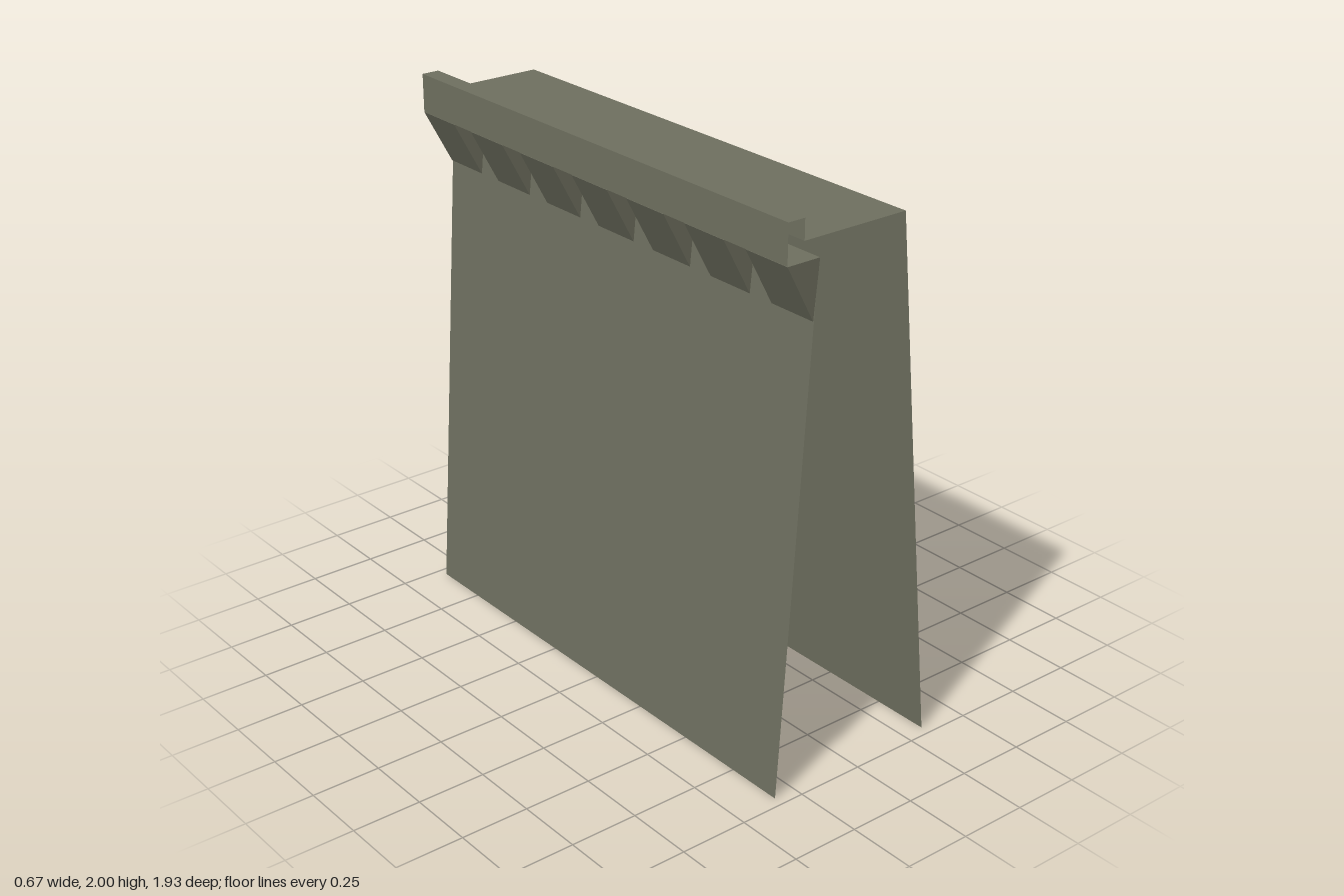
import * as THREE from 'three';

const HALF = 0.963; // half the wall length along z

// Open sheet swept along z from a cross-section of [x, y] points
function sheet(name, points, material) {
  const pos = [];
  for (let i = 0; i < points.length - 1; i++) {
    const [ax, ay] = points[i];
    const [bx, by] = points[i + 1];
    pos.push(ax, ay, HALF, ax, ay, -HALF, bx, by, -HALF);
    pos.push(ax, ay, HALF, bx, by, -HALF, bx, by, HALF);
  }
  const geometry = new THREE.BufferGeometry();
  geometry.setAttribute('position', new THREE.Float32BufferAttribute(pos, 3));
  geometry.computeVertexNormals();
  const mesh = new THREE.Mesh(geometry, material);
  mesh.name = name;
  return mesh;
}

export function createModel() {
  const group = new THREE.Group();
  group.name = 'rampartWall';
  const stone = new THREE.MeshStandardMaterial({ color: 0x6e6f5f, side: THREE.DoubleSide });
  stone.name = 'grey stone';

  // Sloping walls, walkway and parapet, all open at the ends
  group.add(sheet('innerWall', [[0.335, 0], [0.142, 1.928]], stone));
  group.add(sheet('walkway', [[0.142, 1.928], [-0.27, 1.928]], stone));
  group.add(sheet('parapet', [[-0.27, 1.928], [-0.27, 2], [-0.335, 2], [-0.335, 1.862], [-0.21, 1.862]], stone));
  group.add(sheet('outerWall', [[-0.21, 1.862], [-0.335, 0]], stone));

  // Row of wedge-shaped brackets under the parapet
  const count = 7;
  const width = 0.188;
  const wedge = new THREE.Shape([
    new THREE.Vector2(-0.335, 1.861),
    new THREE.Vector2(-0.227, 1.66),
    new THREE.Vector2(-0.206, 1.861),
  ]);
  const wedgeGeometry = new THREE.ExtrudeGeometry(wedge, { depth: width, bevelEnabled: false });
  const brackets = new THREE.Group();
  brackets.name = 'brackets';
  for (let i = 0; i < count; i++) {
    const bracket = new THREE.Mesh(wedgeGeometry, stone);
    bracket.name = 'bracket';
    bracket.position.z = -HALF + (i * (2 * HALF - width)) / (count - 1);
    brackets.add(bracket);
  }
  group.add(brackets);
  return group;
}
